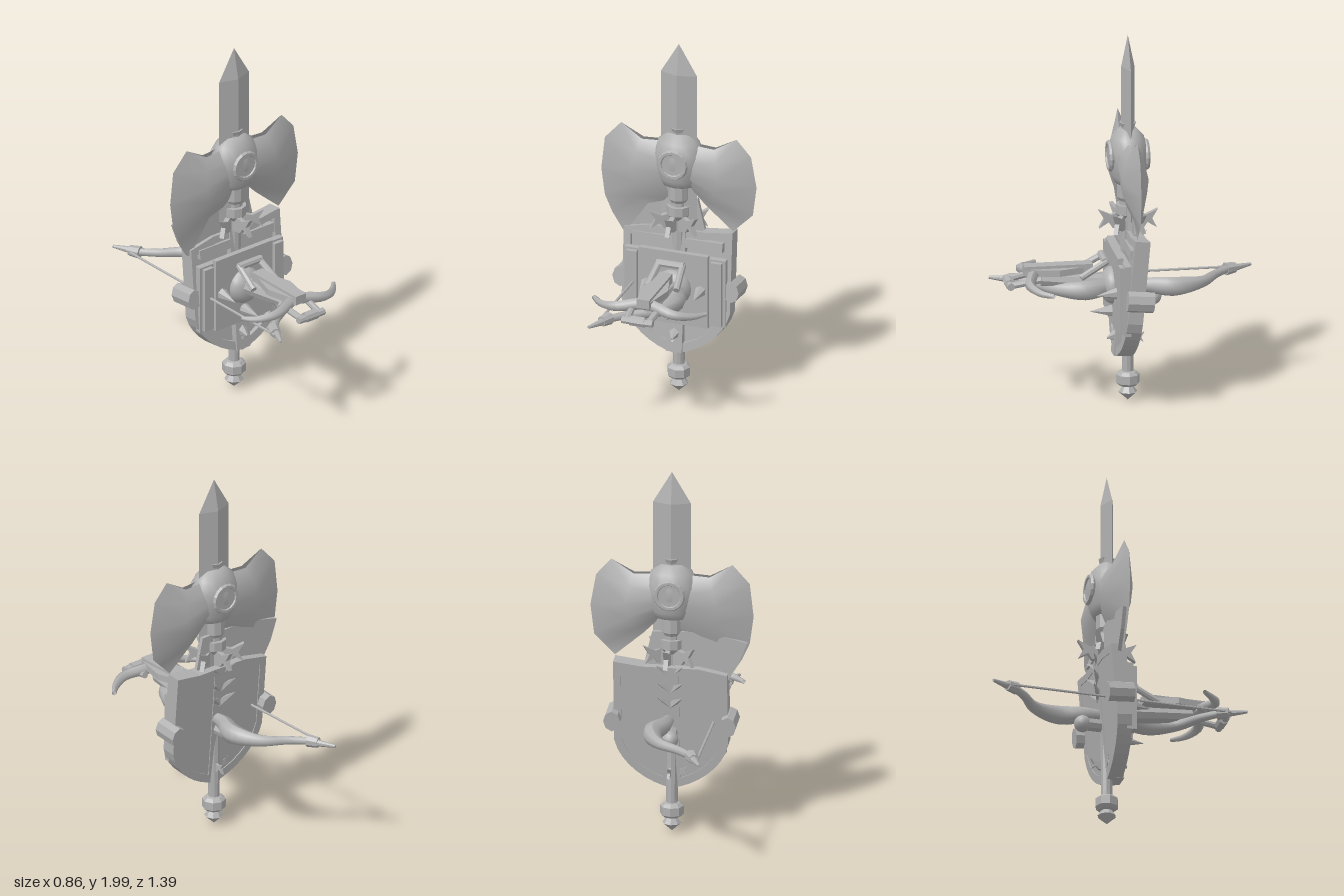
import * as THREE from 'three';

const steel = new THREE.MeshStandardMaterial({ color: 0xb0b0b0, side: THREE.DoubleSide });
steel.name = 'grey steel';
const V = (x, y, z) => new THREE.Vector3(x, y, z);

export function createModel() {
  const root = new THREE.Group();

  function add(name, geo, pos = [0, 0, 0], rot = [0, 0, 0], parent = root, flat = true) {
    let g = geo;
    if (flat) {
      g = geo.index ? geo.toNonIndexed() : geo;
      g.computeVertexNormals();
    }
    const m = new THREE.Mesh(g, steel);
    m.name = name;
    m.position.set(...pos);
    m.rotation.set(...rot);
    parent.add(m);
    return m;
  }
  const box = (name, w, h, d, pos, rot, parent) => add(name, new THREE.BoxGeometry(w, h, d), pos, rot, parent);
  // Cylinder or cone between two points
  function rod(name, a, b, ra, rb = ra, sides = 8) {
    const d = b.clone().sub(a);
    const m = add(name, new THREE.CylinderGeometry(rb, ra, d.length(), sides));
    m.position.copy(a).add(b).multiplyScalar(0.5);
    m.quaternion.setFromUnitVectors(V(0, 1, 0), d.normalize());
    return m;
  }
  // Tube whose radius follows a function of its length
  function taperTube(name, pts, radiusAt, seg = 24, sides = 8) {
    const curve = new THREE.CatmullRomCurve3(pts);
    const g = new THREE.TubeGeometry(curve, seg, 1, sides);
    const p = g.attributes.position, v = V(0, 0, 0);
    for (let i = 0; i <= seg; i++) {
      const c = curve.getPointAt(i / seg), r = radiusAt(i / seg, c);
      for (let j = 0; j <= sides; j++) {
        const k = i * (sides + 1) + j;
        v.fromBufferAttribute(p, k).sub(c).multiplyScalar(r).add(c);
        p.setXYZ(k, v.x, v.y, v.z);
      }
    }
    g.computeVertexNormals();
    return add(name, g, [0, 0, 0], [0, 0, 0], root, false);
  }
  function outline(pts) {
    return new THREE.Shape(pts.map(([x, y]) => new THREE.Vector2(x, y)));
  }
  const slab = (shape, depth) => new THREE.ExtrudeGeometry(shape, { depth, bevelEnabled: false, curveSegments: 8 });

  // Sword blade: a flattened four-sided prism with a long point
  const blade = add('swordBlade', new THREE.CylinderGeometry(0.1, 0.1, 0.83, 4), [0, 1.415, 0]);
  blade.scale.z = 0.35;
  const tip = add('swordTip', new THREE.ConeGeometry(0.1, 0.17, 4), [0, 1.915, 0]);
  tip.scale.z = 0.35;

  // Axe blades: inner, middle and outer edges joined, swelling in the centre
  function axeBlade(name, columns) {
    const lens = [0.015, 0.05, 0.07, 0.065, 0.04, 0.005], swell = [1, 1, 0];
    for (const side of [1, -1]) {
      const pos = [], idx = [];
      columns.forEach((col, c) => col.forEach(([x, y], r) => pos.push(x, y, side * lens[r] * swell[c])));
      for (let c = 0; c < 2; c++) for (let r = 0; r < 5; r++) {
        const a = c * 6 + r, b = a + 6;
        const right = (columns[2][0][0] > 0) === (side > 0);
        if (right) idx.push(a, a + 1, b, b, a + 1, b + 1);
        else idx.push(a, b, a + 1, b, b + 1, a + 1);
      }
      const g = new THREE.BufferGeometry();
      g.setAttribute('position', new THREE.Float32BufferAttribute(pos, 3));
      g.setIndex(idx);
      g.computeVertexNormals();
      add(name, g, [0, 0, 0], [0, 0, 0], root, false);
    }
  }
  axeBlade('leftAxeBlade', [
    [[0.05, 1.44], [0.05, 1.4], [0.05, 1.34], [0.05, 1.28], [0.05, 1.24], [0.05, 1.2]],
    [[0.2, 1.43], [0.22, 1.37], [0.24, 1.28], [0.22, 1.2], [0.19, 1.13], [0.15, 1.1]],
    [[0.32, 1.5], [0.4, 1.41], [0.43, 1.24], [0.41, 1.08], [0.36, 1.03], [0.3, 0.97]],
  ]);
  axeBlade('rightAxeBlade', [
    [[-0.05, 1.44], [-0.05, 1.4], [-0.05, 1.34], [-0.05, 1.27], [-0.05, 1.18], [-0.05, 1.1]],
    [[-0.2, 1.43], [-0.22, 1.37], [-0.24, 1.28], [-0.22, 1.19], [-0.2, 1.11], [-0.17, 1.06]],
    [[-0.32, 1.5], [-0.41, 1.4], [-0.43, 1.22], [-0.41, 1.07], [-0.37, 0.98], [-0.3, 0.87]],
  ]);
  add('lowerBladePlate', slab(outline([[-0.4, 1.08], [-0.2, 1.13], [0.1, 1.12], [0.14, 0.95],
    [0.05, 0.9], [-0.3, 0.87], [-0.36, 0.97]]), 0.02), [0, 0, -0.03]);

  // Axe hub with round bosses on front and back
  const hub = [[0.05, 1.19], [0.09, 1.2], [0.115, 1.24], [0.135, 1.32], [0.135, 1.38], [0.11, 1.45], [0.06, 1.49], [0, 1.5]];
  const hubMesh = add('axeHub', new THREE.LatheGeometry(hub.map(p => new THREE.Vector2(...p)), 16),
    [0, 0, 0], [0, 0, 0], root, false);
  hubMesh.scale.z = 0.76;
  for (const s of [1, -1]) {
    add('hubRing', new THREE.TorusGeometry(0.07, 0.014, 6, 16), [0, 1.345, s * 0.095]);
    add('hubDisc', new THREE.CylinderGeometry(0.065, 0.065, 0.02, 16), [0, 1.345, s * 0.09], [Math.PI / 2, 0, 0]);
  }
  add('hubCap', new THREE.CylinderGeometry(0.045, 0.03, 0.04, 8), [0, 1.505, 0]);

  // Shaft, neck, collars and pommel
  const lathe = (name, pts, sides) => add(name, new THREE.LatheGeometry(pts.map(p => new THREE.Vector2(...p)), sides));
  lathe('neck', [[0.05, 1.24], [0.058, 1.21], [0.058, 1.12], [0.045, 1.1], [0.045, 1.08], [0.065, 1.08], [0.065, 1.03], [0.04, 1.0]].reverse(), 10);
  rod('shaft', V(0, 0.14, 0), V(0, 1.1, 0), 0.03, 0.04, 10);
  lathe('pommel', [[0, 0.01], [0.05, 0.055], [0.03, 0.085], [0.045, 0.09], [0.062, 0.105], [0.062, 0.15], [0.045, 0.165], [0.03, 0.17], [0.03, 0.19]], 8);

  // Pointed flanges around the shaft
  const fin = outline([[0.02, -0.06], [0.08, -0.05], [0.1, -0.02], [0.15, -0.05], [0.125, 0], [0.155, 0.05], [0.09, 0.02], [0.02, 0.04]]);
  function flanges(name, y, size, count, turn) {
    for (let i = 0; i < count; i++) {
      const m = add(name, slab(fin, 0.025), [0, y, 0], [0, turn + i * Math.PI * 2 / count, 0]);
      m.scale.setScalar(size);
    }
  }
  flanges('upperFlange', 1.0, 1, 6, Math.PI / 6);
  flanges('lowerFlange', 0.35, 0.55, 4, Math.PI / 2);
  for (const y of [0.72, 0.8, 0.89]) for (const s of [1, -1])
    rod('backThorn', V(0, y, -0.03), V(s * 0.07, y + 0.06, -0.09), 0.028, 0.001, 4);

  // Shield, leaning back a little
  const shield = new THREE.Group();
  shield.name = 'shield';
  shield.position.set(0, 0.62, 0);
  shield.rotation.x = -0.09;
  root.add(shield);
  function heater(k) {
    const s = new THREE.Shape();
    s.moveTo(-0.3 * k, 0.29 * k);
    s.lineTo(-0.15 * k, 0.32 * k);
    s.lineTo(0.15 * k, 0.32 * k);
    s.lineTo(0.3 * k, 0.34 * k);
    s.lineTo(0.3 * k, -0.11 * k);
    s.bezierCurveTo(0.27 * k, -0.25 * k, 0.12 * k, -0.35 * k, 0, -0.37 * k);
    s.bezierCurveTo(-0.12 * k, -0.35 * k, -0.27 * k, -0.25 * k, -0.3 * k, -0.11 * k);
    return s;
  }
  add('shieldBoard', slab(heater(0.97), 0.05), [0, 0, -0.035], [0, 0, 0], shield);
  const rim = heater(1);
  rim.holes.push(heater(0.87));
  add('shieldRim', slab(rim, 0.08), [0, 0, -0.04], [0, 0, 0], shield);
  box('uprightBand', 0.09, 0.68, 0.09, [0, -0.02, 0.005], [0, 0, 0], shield);
  box('topBand', 0.5, 0.05, 0.07, [0, 0.25, 0.015], [0, 0, 0], shield);
  for (const s of [1, -1]) {
    const clasp = add('sideClasp', new THREE.CylinderGeometry(0.045, 0.045, 0.14, 8), [s * 0.305, 0.015, -0.015], [Math.PI / 2, 0, 0], shield);
    clasp.scale.z = 1.25;
    rod('shieldSpike', V(s * 0.15, 0.64, 0.07), V(s * 0.15, 0.63, 0.19), 0.035, 0.001, 6);
  }
  rod('centreSpike', V(0, 0.5, 0.07), V(0, 0.5, 0.2), 0.035, 0.001, 8);
  rod('lowerSpike', V(0, 0.37, 0.05), V(0, 0.35, 0.11), 0.04, 0.005, 6);

  // Layered square plate with a round boss
  box('widePlate', 0.56, 0.38, 0.035, [0, 0.63, 0.045]);
  box('innerPlate', 0.38, 0.41, 0.03, [0, 0.635, 0.07]);
  for (const s of [1, -1]) box('plateEdge', 0.06, 0.36, 0.05, [s * 0.235, 0.63, 0.06]);
  const boss = add('boss', new THREE.SphereGeometry(0.1, 16, 10), [0, 0.64, 0.08], [0, 0, 0], root, false);
  boss.scale.z = 0.7;

  // Crossbow stock: a plan outline laid flat, with its rail below
  const stock = outline([[0, -0.2], [0.035, -0.24], [0.075, -0.37], [0.035, -0.55], [-0.035, -0.55], [-0.075, -0.37], [-0.035, -0.24]]);
  add('crossbowStock', slab(stock, 0.035), [0, 0.72, 0], [-Math.PI / 2, 0, 0]);
  box('crossbowRail', 0.07, 0.05, 0.36, [0, 0.745, 0.37]);
  rod('crossbowGrip', V(0, 0.65, 0.1), V(0, 0.69, 0.46), 0.05, 0.035, 8);
  taperTube('crossbowLimb', [V(-0.31, 0.69, 0.44), V(-0.25, 0.69, 0.5), V(-0.16, 0.705, 0.54), V(0, 0.725, 0.5),
    V(0.16, 0.705, 0.54), V(0.25, 0.69, 0.5), V(0.31, 0.69, 0.44)], t => 0.012 + 0.02 * Math.sin(Math.PI * t), 24, 6);
  for (const s of [1, -1]) {
    rod('stirrupSide', V(s * 0.075, 0.71, 0.47), V(s * 0.06, 0.68, 0.63), 0.018);
    rod('rearLoopSide', V(s * 0.065, 0.79, 0.12), V(s * 0.08, 0.71, 0.26), 0.018);
  }
  rod('stirrupBar', V(-0.085, 0.68, 0.63), V(0.085, 0.68, 0.63), 0.02);
  rod('stirrupRoller', V(-0.04, 0.68, 0.625), V(0.04, 0.68, 0.625), 0.028);
  rod('rearLoopBar', V(-0.075, 0.79, 0.13), V(0.075, 0.79, 0.13), 0.02);

  // Longbow lying front to back, mirrored about its grip
  const half = [[-0.2, 0.57], [-0.11, 0.48], [0, 0.4], [0.055, 0.3], [0.065, 0.22], [0.02, 0.1]];
  const bowPts = [...half.map(([x, z]) => V(x, 0.635, -z)), ...half.slice().reverse().map(([x, z]) => V(x, 0.635, z))];
  taperTube('bowLimbs', bowPts, (t, c) => 0.02 + 0.032 * Math.exp(-(((Math.abs(c.z) - 0.22) / 0.17) ** 2)), 40, 8);
  for (const s of [1, -1]) {
    rod('bowSleeve', V(-0.185, 0.635, s * 0.545), V(-0.21, 0.635, s * 0.6), 0.034, 0.028);
    rod('bowTip', V(-0.2, 0.635, s * 0.59), V(-0.25, 0.635, s * 0.69), 0.02, 0.008);
  }
  rod('bowString', V(-0.225, 0.635, -0.61), V(-0.225, 0.635, 0.61), 0.007, 0.007, 6);

  // Rounded knob behind the grip
  add('backKnob', new THREE.SphereGeometry(0.045, 12, 8), [-0.01, 0.565, -0.135], [0, 0, 0], root, false);
  rod('knobStem', V(0, 0.57, -0.02), V(-0.01, 0.565, -0.12), 0.035);

  return root;
}
